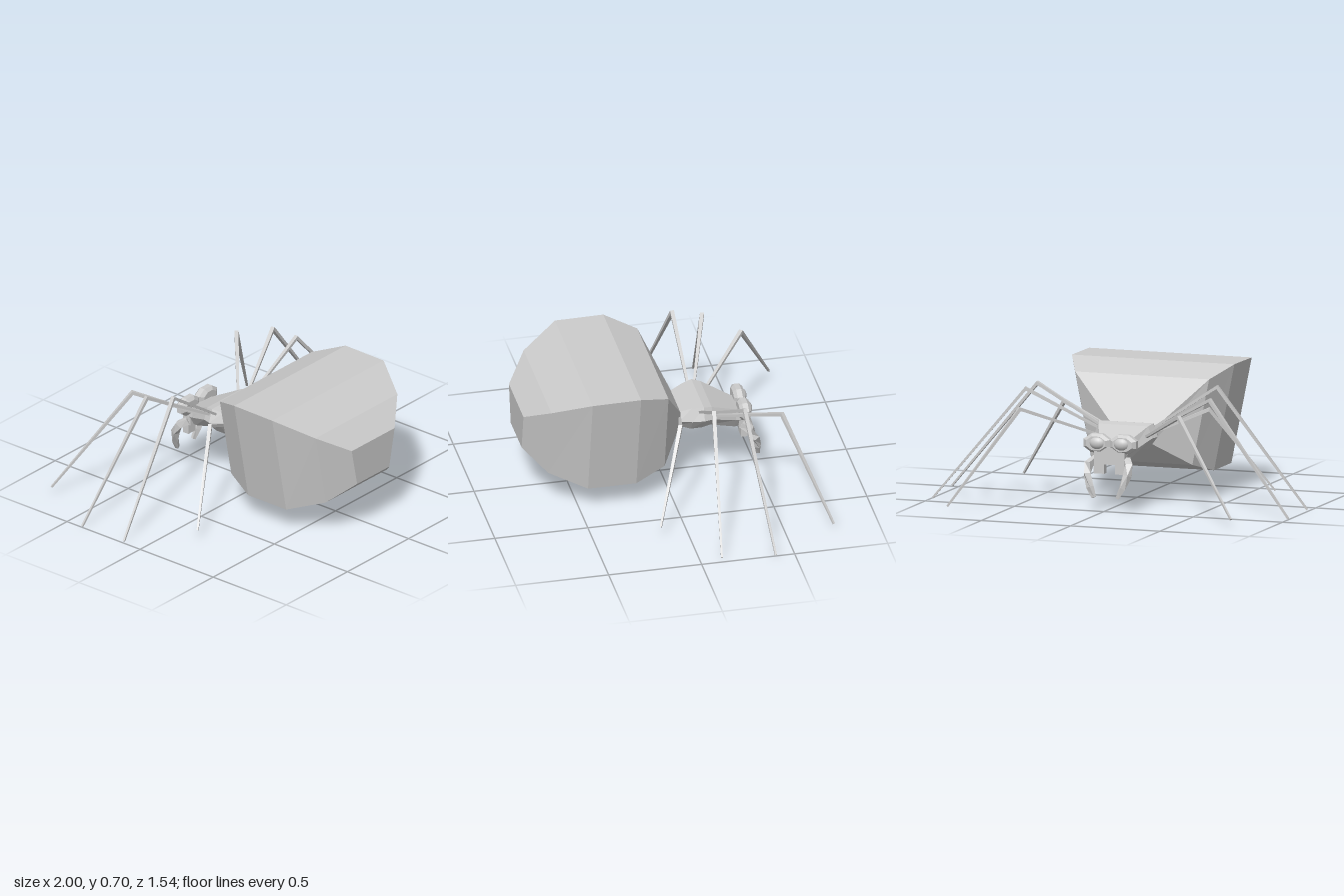
import * as THREE from 'three';

const CX = -0.015; // body axis
const flat = new THREE.MeshStandardMaterial({ color: 0xcccccc, flatShading: true });
const smooth = new THREE.MeshStandardMaterial({ color: 0xcccccc });

function addMesh(parent, name, geometry, material = flat) {
  const mesh = new THREE.Mesh(geometry, material);
  mesh.name = name;
  parent.add(mesh);
  return mesh;
}

// Skin a row of rings, with both ends capped
function loft(rings) {
  const pos = [];
  const tri = (...pts) => pts.forEach((p) => pos.push(p.x, p.y, p.z));
  const n = rings[0].length;
  for (let r = 0; r < rings.length - 1; r++) {
    const a = rings[r], b = rings[r + 1];
    for (let i = 0; i < n; i++) {
      const j = (i + 1) % n;
      tri(a[i], b[i], b[j]);
      tri(a[i], b[j], a[j]);
    }
  }
  const first = rings[0], last = rings[rings.length - 1];
  for (let i = 1; i < n - 1; i++) {
    tri(first[0], first[i], first[i + 1]);
    tri(last[0], last[i + 1], last[i]);
  }
  const g = new THREE.BufferGeometry();
  g.setAttribute('position', new THREE.Float32BufferAttribute(pos, 3));
  g.computeVertexNormals();
  return g;
}

// Tapered bar with square section along a bent path
function limb(points, radii) {
  const p = points.map((q) => new THREE.Vector3(...q));
  return loft(p.map((c, k) => {
    const d = new THREE.Vector3();
    if (k > 0) d.add(c.clone().sub(p[k - 1]).normalize());
    if (k < p.length - 1) d.add(p[k + 1].clone().sub(c).normalize());
    d.normalize();
    const u = new THREE.Vector3(-d.z, 0, d.x).normalize();
    const v = u.clone().cross(d);
    return [0, 1, 2, 3].map((i) => {
      const t = Math.PI / 4 + i * Math.PI / 2;
      return c.clone().addScaledVector(u, Math.cos(t) * radii[k]).addScaledVector(v, Math.sin(t) * radii[k]);
    });
  }));
}

export function createModel() {
  const model = new THREE.Group();
  model.name = 'spider';
  const V = (x, y, z) => new THREE.Vector3(CX + x, y, z);

  // Abdomen: trapezoid sections [z, bottom, top, half width at top]
  const abdomen = [
    [0.77, 0.31, 0.52, 0.175], [0.655, 0.21, 0.62, 0.335], [0.46, 0.14, 0.707, 0.455],
    [0.2, 0.14, 0.71, 0.455], [0.035, 0.19, 0.65, 0.375], [-0.085, 0.31, 0.41, 0.13],
  ].map(([z, b, t, w]) => [V(-w * 0.75, b, z), V(w * 0.75, b, z), V(w, t, z), V(-w, t, z)]);
  addMesh(model, 'abdomen', loft(abdomen));

  // Thorax: six-sided sections [z, bottom, top, half width at the middle]
  const thorax = [
    [-0.075, 0.31, 0.405, 0.13], [-0.145, 0.29, 0.43, 0.155], [-0.205, 0.3, 0.44, 0.178],
    [-0.25, 0.305, 0.43, 0.163], [-0.39, 0.25, 0.365, 0.095], [-0.425, 0.25, 0.35, 0.085],
  ].map(([z, b, t, w]) => {
    const m = (b + t) / 2;
    return [V(-w * 0.65, b, z), V(w * 0.65, b, z), V(w, m, z), V(w * 0.85, t, z), V(-w * 0.85, t, z), V(-w, m, z)];
  });
  addMesh(model, 'thorax', loft(thorax));

  // Head block below and between the eyes
  const head = new THREE.BoxGeometry(0.17, 0.09, 0.05);
  head.translate(CX, 0.295, -0.435);
  addMesh(model, 'head', head);

  const rimProfile = [[0, -0.03], [0.05, -0.03], [0.075, -0.014], [0.075, 0.014], [0.055, 0.03], [0, 0.03]]
    .map(([r, y]) => new THREE.Vector2(r, y));
  for (const s of [1, -1]) {
    const side = s > 0 ? 'left' : 'right';

    // Eye: octagonal rim and smooth ball
    const rim = new THREE.LatheGeometry(rimProfile, 8);
    rim.rotateY(Math.PI / 8);
    rim.rotateX(-Math.PI / 2);
    rim.scale(1.06, 0.72, 1);
    rim.translate(CX + s * 0.074, 0.36, -0.436);
    addMesh(model, side + 'EyeRim', rim);
    const ball = new THREE.SphereGeometry(0.047, 20, 14);
    ball.scale(1, 0.8, 0.75);
    ball.translate(CX + s * 0.068, 0.362, -0.447);
    addMesh(model, side + 'Eye', ball, smooth);

    // Jaw and curved fang
    const jaw = new THREE.BoxGeometry(0.06, 0.075, 0.035);
    jaw.translate(CX + s * 0.06, 0.237, -0.437);
    addMesh(model, side + 'Jaw', jaw);
    addMesh(model, side + 'Fang', limb([
      [CX + s * 0.085, 0.275, -0.425], [CX + s * 0.112, 0.25, -0.465], [CX + s * 0.112, 0.2, -0.49],
      [CX + s * 0.09, 0.135, -0.508], [CX + s * 0.065, 0.082, -0.516],
    ], [0.024, 0.026, 0.024, 0.02, 0.013]));
  }

  // Legs: hip, knee and foot
  const legs = {
    right: [
      [[-0.13, 0.365, -0.255], [-0.43, 0.535, -0.53], [-0.81, 0.05, -0.765]],
      [[-0.14, 0.39, -0.21], [-0.535, 0.605, -0.345], [-0.995, 0.01, -0.4]],
      [[-0.14, 0.4, -0.185], [-0.515, 0.65, -0.18], [-0.995, 0.015, -0.115]],
      [[-0.12, 0.37, -0.085], [-0.41, 0.5, -0.015], [-0.715, 0.06, 0.155]],
    ],
    left: [
      [[0.1, 0.365, -0.25], [0.45, 0.535, -0.555], [0.78, 0.03, -0.76]],
      [[0.11, 0.39, -0.21], [0.495, 0.61, -0.345], [0.995, 0.01, -0.4]],
      [[0.11, 0.4, -0.185], [0.49, 0.615, -0.18], [0.995, 0.03, -0.11]],
      [[0.09, 0.37, -0.085], [0.4, 0.5, -0.02], [0.69, 0.075, 0.15]],
    ],
  };
  for (const side in legs) {
    legs[side].forEach((path, i) => addMesh(model, side + 'Leg' + (i + 1), limb(path, [0.009, 0.015, 0.007])));
  }
  return model;
}
